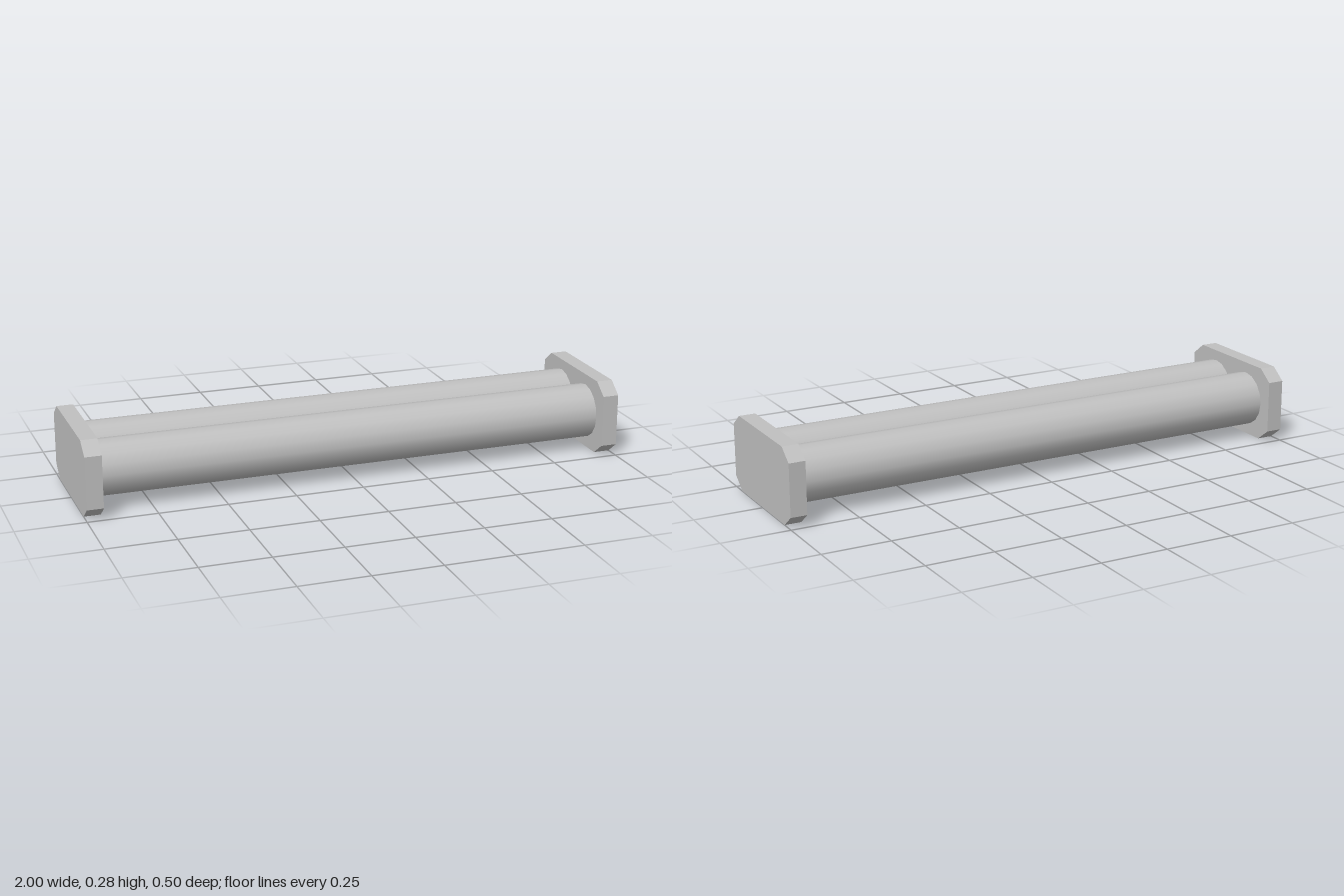
import * as THREE from 'three';

export function createModel() {
  const model = new THREE.Group();
  model.name = 'twinRollers';
  const grey = new THREE.MeshStandardMaterial({ color: 0xc0c0c0 });
  grey.name = 'light grey';

  const height = 0.277, halfDepth = 0.25, thickness = 0.06;
  const chamferZ = 0.056, chamferY = 0.043;

  // End plates: a rectangle with cut corners, extruded along x
  const zi = halfDepth - chamferZ, yi = height - chamferY;
  const outline = new THREE.Shape([
    [-zi, 0], [zi, 0], [halfDepth, chamferY], [halfDepth, yi],
    [zi, height], [-zi, height], [-halfDepth, yi], [-halfDepth, chamferY],
  ].map(([z, y]) => new THREE.Vector2(z, y)));
  const plateGeometry = new THREE.ExtrudeGeometry(outline, { depth: thickness, bevelEnabled: false });
  plateGeometry.translate(0, 0, -thickness / 2).rotateY(Math.PI / 2);
  for (const side of [-1, 1]) {
    const plate = new THREE.Mesh(plateGeometry, grey);
    plate.name = side > 0 ? 'leftEndPlate' : 'rightEndPlate';
    plate.position.x = side * (1 - thickness / 2);
    model.add(plate);
  }

  // Two parallel tubes touching along the middle
  const radius = 0.1;
  const tubeGeometry = new THREE.CylinderGeometry(radius, radius, 2 - 2 * thickness, 16, 1, true);
  tubeGeometry.rotateZ(Math.PI / 2);
  for (const side of [-1, 1]) {
    const tube = new THREE.Mesh(tubeGeometry, grey);
    tube.name = side > 0 ? 'frontTube' : 'backTube';
    tube.position.set(0, height / 2, side * radius);
    model.add(tube);
  }
  return model;
}
